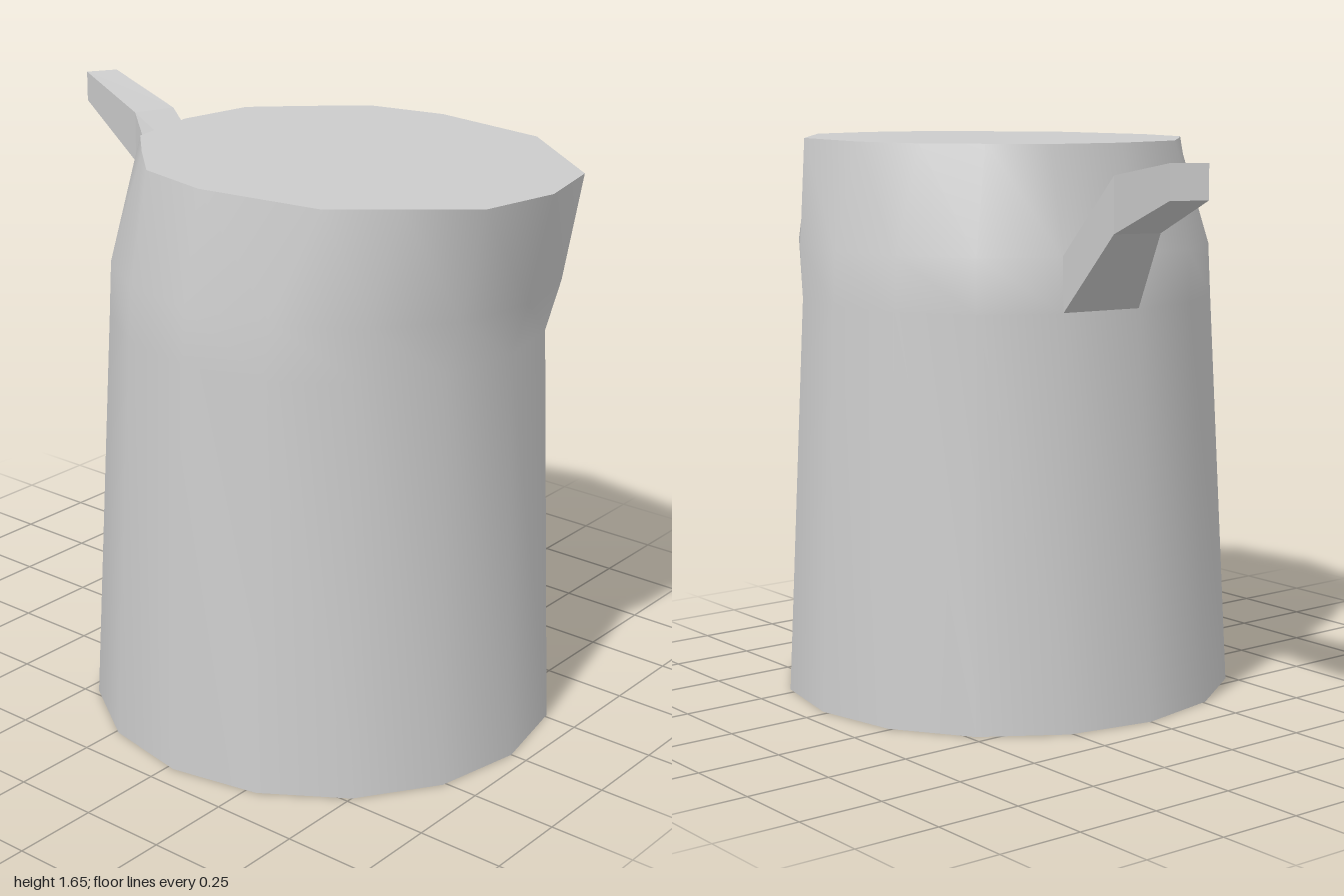
import * as THREE from 'three';

const SIDES = 16;
const CX = 0.27; // axis of the round body

// Turn a list of rings (lists of [x, y, z]) into an indexed skin
function loft(rings) {
  const n = rings[0].length, index = [];
  for (let i = 0; i < rings.length - 1; i++) {
    for (let j = 0; j < n; j++) {
      const k = (j + 1) % n;
      const a = i * n + j, b = i * n + k, c = a + n, d = b + n;
      index.push(a, c, d, a, d, b);
    }
  }
  return geometry(rings.flat(), index);
}

// Flat cap closing one ring
function cap(ring, flip) {
  const index = [];
  for (let j = 1; j < ring.length - 1; j++) {
    index.push(0, ...(flip ? [j, j + 1] : [j + 1, j]));
  }
  return geometry(ring, index);
}

function geometry(points, index) {
  const g = new THREE.BufferGeometry();
  g.setAttribute('position', new THREE.Float32BufferAttribute(points.flat(), 3));
  g.setIndex(index);
  g.computeVertexNormals();
  return g;
}

// Round ring; the spout side (+x) may be stretched to its own radius
function roundRing(y, r, spoutR = r) {
  return Array.from({ length: SIDES }, (_, j) => {
    const a = (j / SIDES) * Math.PI * 2, c = Math.cos(a);
    return [CX + c * (c > 0 ? spoutR : r), y, Math.sin(a) * r];
  });
}

// Half outline of the rim from spout to handle side, mirrored in z
function rimRing(y) {
  const half = [[1, 0], [0.95, 0.23], [0.79, 0.36], [0.63, 0.49], [0.27, 0.54],
    [0.04, 0.49], [-0.1, 0.36], [-0.23, 0.23], [-0.27, 0]];
  const front = half.map(([x, z]) => [x, y, z * 1.02]);
  const back = half.slice(1, -1).reverse().map(([x, z]) => [x, y, -z * 0.98]);
  return [...front, ...back];
}

export function createModel() {
  const model = new THREE.Group();
  model.name = 'jug';
  const smooth = new THREE.MeshStandardMaterial({ color: 0xcccccc });
  const flat = new THREE.MeshStandardMaterial({ color: 0xcccccc, flatShading: true });
  const add = (name, geo, material, parent) => {
    const mesh = new THREE.Mesh(geo, material);
    mesh.name = name;
    parent.add(mesh);
  };

  // Tapered body whose neck flares into a spout
  const body = new THREE.Group();
  body.name = 'body';
  model.add(body);
  const rings = [roundRing(0, 0.68), roundRing(1.19, 0.62),
    roundRing(1.345, 0.613, 0.67), rimRing(1.655)];
  add('wall', loft(rings), smooth, body);
  add('base', cap(rings[0], true), flat, body);
  add('lid', cap(rings[3], false), flat, body);

  // Handle: each section holds front and back edge [x, z], bottom and top height
  const section = (front, back, low, high) => [
    [front[0], low, front[1]], [back[0], low, back[1]],
    [back[0], high, back[1]], [front[0], high, front[1]],
  ];
  const sections = [
    section([-0.345, 0], [-0.3, -0.237], 1.19, 1.35),
    section([-0.635, -0.175], [-0.59, -0.3], 1.43, 1.585),
    section([-1, -0.34], [-0.95, -0.425], 1.54, 1.633),
  ];
  const handle = new THREE.Group();
  handle.name = 'handle';
  model.add(handle);
  add('grip', loft(sections), flat, handle);
  add('gripEnd', cap(sections[2], false), flat, handle);
  return model;
}
